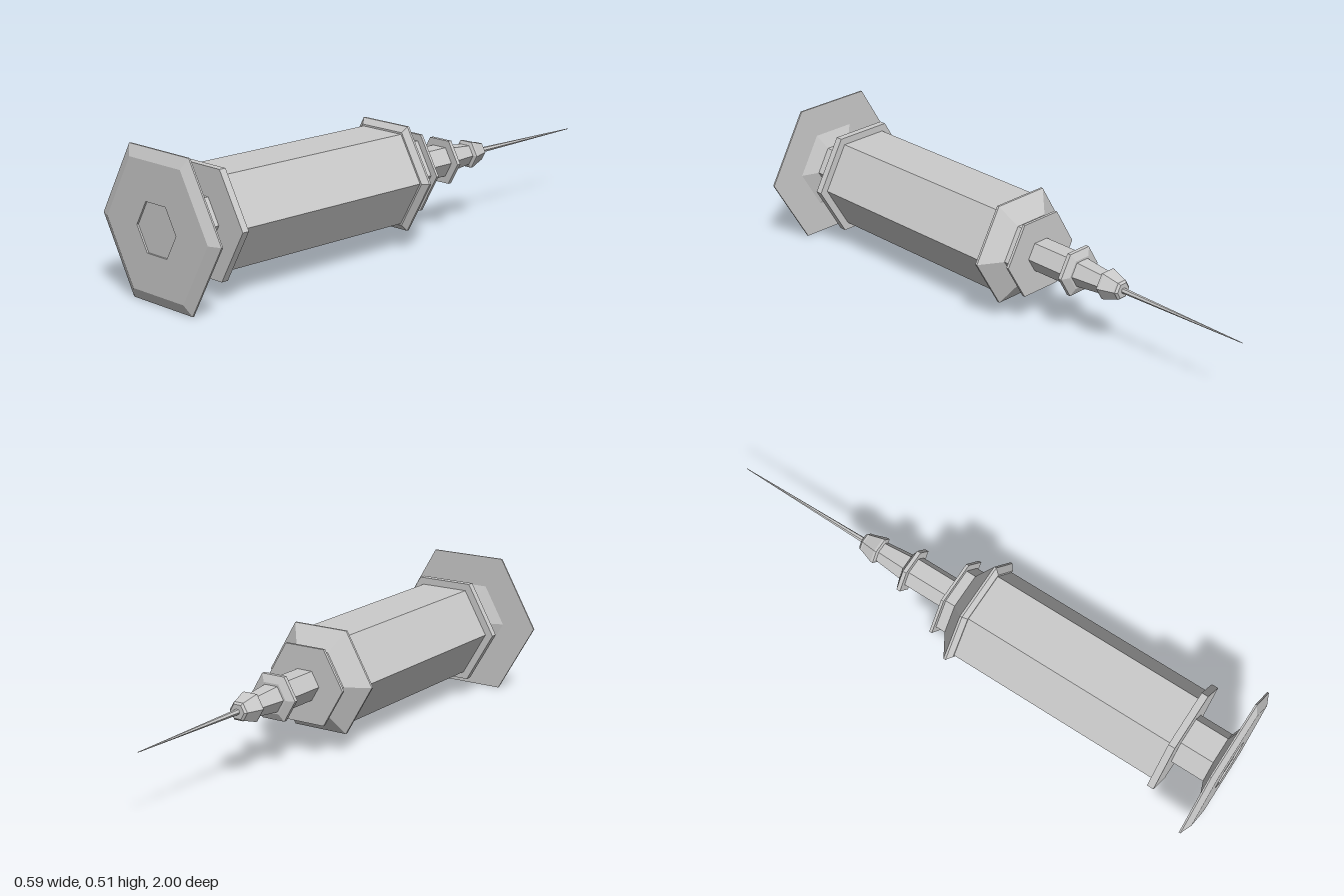
import * as THREE from 'three';

const AXIS_Y = 0.254;

export function createModel() {
  const group = new THREE.Group();
  const material = new THREE.MeshStandardMaterial({ color: 0xcccccc, flatShading: true });

  // Six-sided turned part along z; profile is [radius, z] from back to front
  function hexPart(name, profile) {
    const points = profile.map(([r, z]) => new THREE.Vector2(r, z));
    const geometry = new THREE.LatheGeometry(points, 6, Math.PI / 2);
    geometry.rotateX(Math.PI / 2);
    const mesh = new THREE.Mesh(geometry, material);
    mesh.name = name;
    mesh.position.y = AXIS_Y;
    group.add(mesh);
  }

  // Plunger: rod, flared shoulder and bevelled thumb rest with a shallow recess
  hexPart('plungerRod', [[0, 0.78], [0.098, 0.78], [0.098, 0.96]]);
  hexPart('thumbRest', [
    [0.098, 0.953], [0.16, 0.976], [0.293, 0.976], [0.293, 0.982],
    [0.25, 1], [0.097, 1], [0.097, 0.994], [0, 0.994],
  ]);

  // Barrel with its finger flange
  hexPart('barrel', [[0, 0], [0.183, 0], [0.183, 0.815], [0, 0.815]]);
  hexPart('fingerFlange', [[0, 0.803], [0.213, 0.803], [0.213, 0.828], [0, 0.828]]);

  // Tapered collar and the thin plate behind it
  hexPart('collar', [[0, -0.11], [0.13, -0.11], [0.13, -0.068], [0.213, -0.018], [0.213, -0.01], [0.19, 0.006], [0, 0.006]]);
  hexPart('collarPlate', [[0, -0.114], [0.157, -0.114], [0.157, -0.104], [0, -0.104]]);

  // Nozzle and needle hub
  hexPart('nozzle', [[0, -0.29], [0.06, -0.29], [0.06, -0.105], [0, -0.105]]);
  hexPart('nozzleRing', [
    [0, -0.308], [0.06, -0.308], [0.09, -0.296], [0.09, -0.282], [0, -0.282],
  ]);
  hexPart('needleHub', [[0, -0.425], [0.039, -0.425], [0.052, -0.3], [0, -0.3]]);
  hexPart('hubTip', [
    [0, -0.495], [0.028, -0.495], [0.036, -0.488], [0.036, -0.482],
    [0.054, -0.43], [0.054, -0.422], [0.039, -0.417], [0, -0.417],
  ]);

  // Needle tapering to a point
  hexPart('needle', [[0, -1], [0.0012, -0.998], [0.01, -0.49], [0, -0.49]]);

  return group;
}
